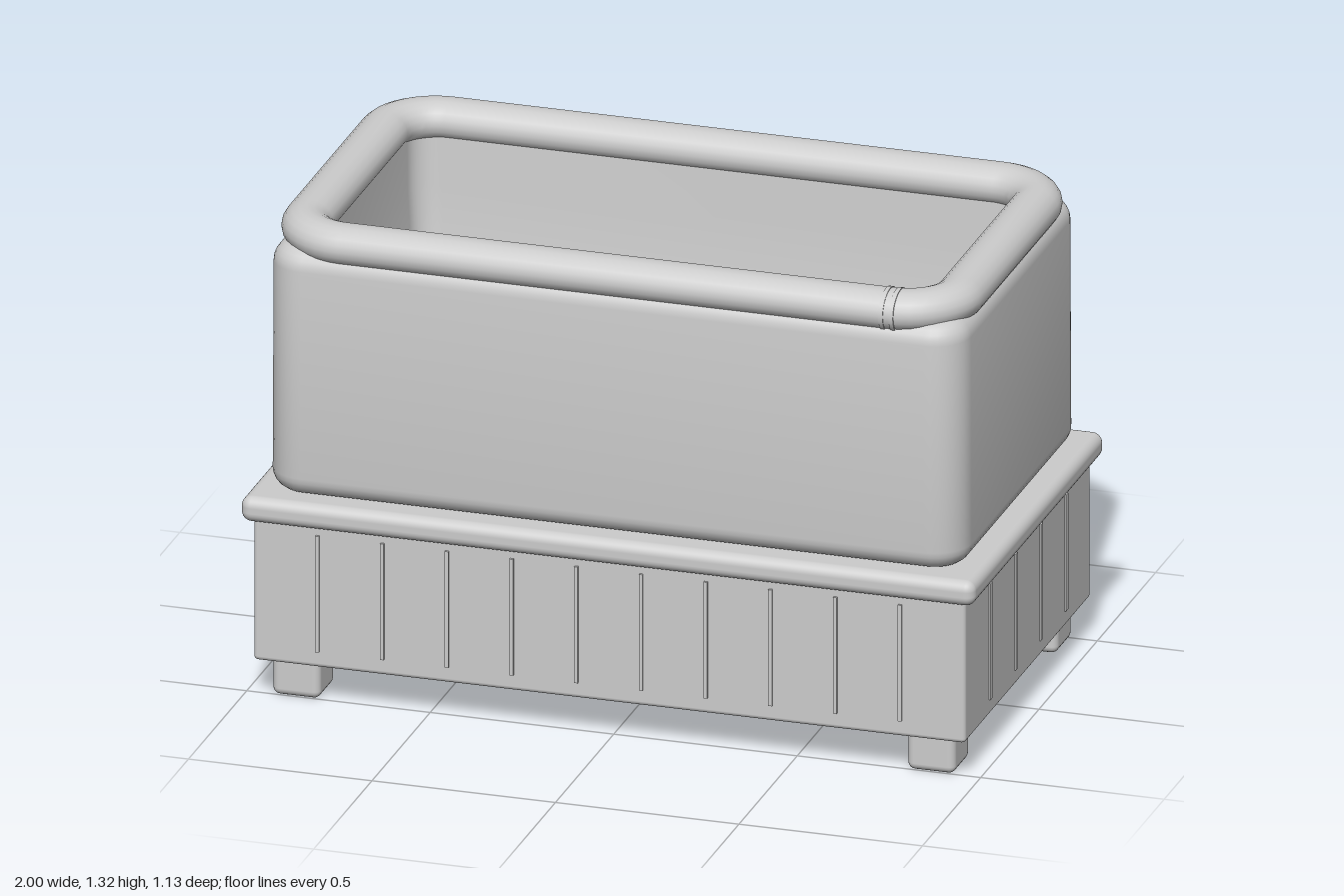
import * as THREE from 'three';
import { toCreasedNormals } from 'three/addons/utils/BufferGeometryUtils.js';
import { RoundedBoxGeometry } from 'three/addons/geometries/RoundedBoxGeometry.js';

const grey = new THREE.MeshStandardMaterial({ color: 0xcccccc });
grey.name = 'plain grey';

// Skins a stack of rounded-rectangle rings: [halfX, halfZ, cornerRadius, y]
function ringSkin(rings, corner = 8) {
  const pos = [], idx = [];
  const n = 4 * (corner + 1);
  for (const [hx, hz, r, y] of rings) {
    for (let q = 0; q < 4; q++) {
      const sx = q === 0 || q === 3 ? 1 : -1;
      const sz = q < 2 ? 1 : -1;
      for (let i = 0; i <= corner; i++) {
        const a = (q + i / corner) * Math.PI / 2;
        pos.push(sx * (hx - r) + r * Math.cos(a), y, sz * (hz - r) + r * Math.sin(a));
      }
    }
  }
  for (let k = 0; k < rings.length - 1; k++) {
    for (let j = 0; j < n; j++) {
      const a = k * n + j, b = k * n + (j + 1) % n;
      idx.push(a, a + n, b, b, a + n, b + n);
    }
  }
  const geo = new THREE.BufferGeometry();
  geo.setAttribute('position', new THREE.Float32BufferAttribute(pos, 3));
  geo.setIndex(idx);
  return toCreasedNormals(geo, 0.7);
}

export function createModel() {
  const model = new THREE.Group();
  model.name = 'tubOnBase';
  const add = (name, geo, x = 0, y = 0, z = 0) => {
    const mesh = new THREE.Mesh(geo, grey);
    mesh.name = name;
    mesh.position.set(x, y, z);
    model.add(mesh);
    return mesh;
  };

  // Feet, base and overhanging slab
  for (const sx of [-1, 1]) {
    for (const sz of [-1, 1]) {
      add('foot', new RoundedBoxGeometry(0.13, 0.115, 0.135, 3, 0.02), sx * 0.865, 0.0575, sz * 0.44);
    }
  }
  add('base', new RoundedBoxGeometry(1.94, 0.4, 1.08, 2, 0.012), 0, 0.305, 0);
  add('baseSlab', new RoundedBoxGeometry(2, 0.07, 1.13, 4, 0.028), 0, 0.53, 0);

  // Thin upright battens on the front and both ends
  for (let k = 1; k <= 10; k++) {
    add('frontBatten', new THREE.BoxGeometry(0.01, 0.325, 0.012), -0.97 + 1.94 * k / 11, 0.3125, 0.541);
  }
  for (const sx of [-1, 1]) {
    for (let k = 1; k <= 4; k++) {
      add('endBatten', new THREE.BoxGeometry(0.008, 0.325, 0.018), sx * 0.97, 0.3125, -0.54 + 1.08 * k / 5);
    }
  }

  // Tub: underside, rounded outer wall, top edge, tapering inner wall and floor
  const rings = [[0, 0, 0, 0.563]];
  const fillet = 0.055, steps = 6;
  for (let i = 0; i <= steps; i++) {
    const a = i / steps * Math.PI / 2;
    const d = fillet * (1 - Math.sin(a));
    rings.push([0.95 - d, 0.52 - d, 0.1 - d, 0.563 + fillet * (1 - Math.cos(a))]);
  }
  for (let i = 0; i <= steps; i++) {
    const a = i / steps * Math.PI / 2;
    const d = fillet * (1 - Math.cos(a));
    rings.push([0.948 - d, 0.518 - d, 0.1 - d, 1.195 + fillet * Math.sin(a)]);
  }
  rings.push(
    [0.83, 0.41, 0.07, 1.25],
    [0.825, 0.4, 0.07, 1.1],
    [0.81, 0.385, 0.065, 0.9],
    [0.785, 0.355, 0.055, 0.76],
    [0.742, 0.307, 0.03, 0.68],
    [0.735, 0.3, 0.03, 0.665],
    [0.715, 0.28, 0.02, 0.66],
    [0, 0, 0, 0.66],
  );
  add('tub', ringSkin(rings));

  // Padded rim: an oval section swept round the opening
  const rim = [];
  for (let i = 0; i <= 20; i++) {
    const a = i / 20 * Math.PI * 2;
    const d = 0.066 * Math.cos(a);
    rim.push([0.887 + d, 0.46 + d, 0.14 + d, 1.266 + 0.055 * Math.sin(a)]);
  }
  add('rim', ringSkin(rim, 10));

  // Seam bands where the rim closes
  for (const x of [0.735, 0.763]) {
    const seam = new THREE.CylinderGeometry(1, 1, 0.012, 24);
    seam.rotateZ(Math.PI / 2);
    seam.scale(1, 0.057, 0.068);
    add('rimSeam', seam, x, 1.266, 0.46);
  }

  // Drain knob on the floor
  add('drain', new THREE.SphereGeometry(0.048, 24, 16), 0.632, 0.665, 0);

  return model;
}
